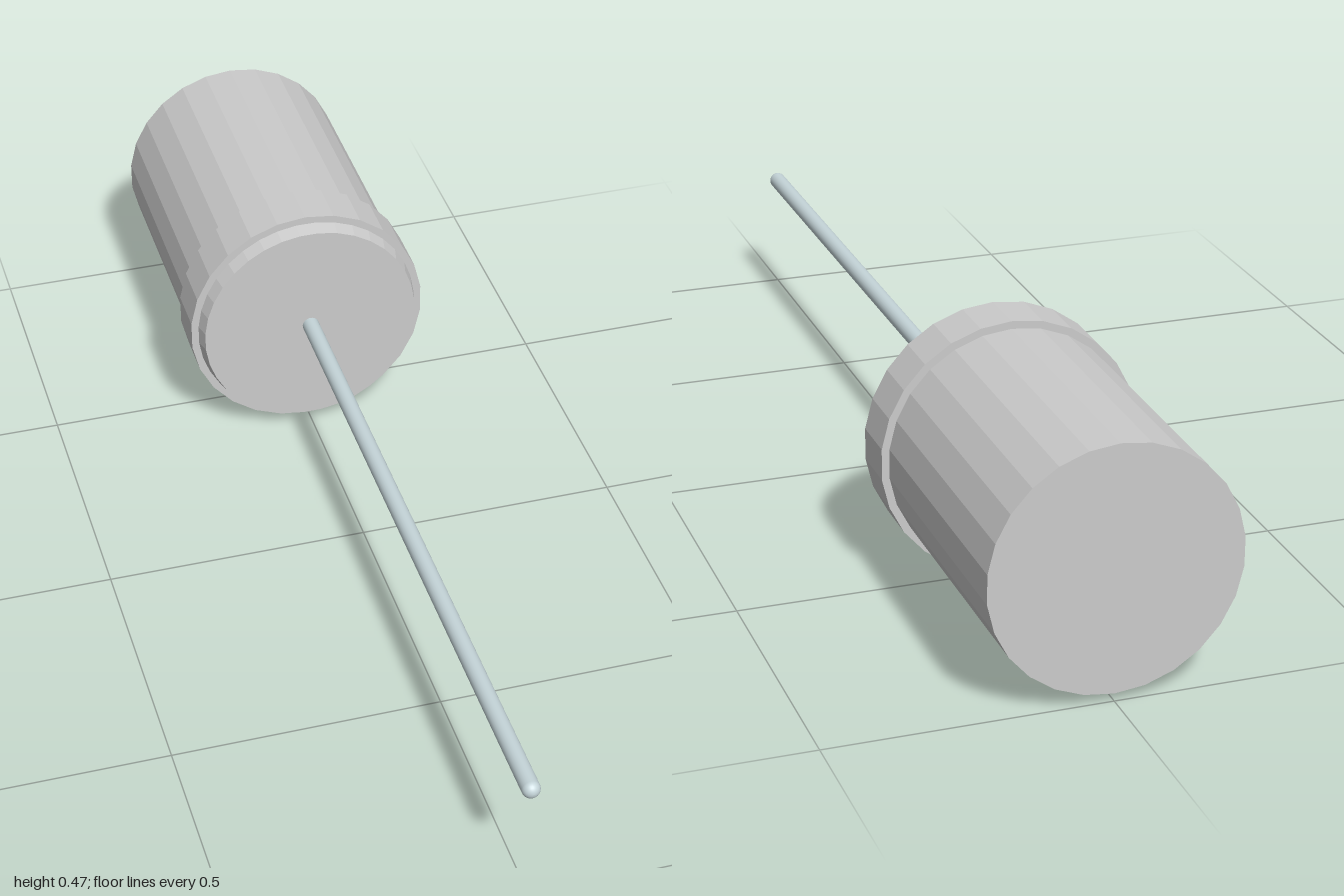
import * as THREE from 'three';

const AXIS_Y = 0.237;

export function createModel() {
  const model = new THREE.Group();
  const grey = new THREE.MeshStandardMaterial({ color: 0xcccccc, flatShading: true });
  const steel = new THREE.MeshStandardMaterial({ color: 0xc6d6da });

  // Closed faceted drum along z, from back to front
  const drum = (name, back, front, backRadius, frontRadius, sides, turn = 0) => {
    const geometry = new THREE.CylinderGeometry(frontRadius, backRadius, front - back, sides);
    geometry.rotateX(Math.PI / 2).rotateZ(turn);
    const mesh = new THREE.Mesh(geometry, grey);
    mesh.name = name;
    mesh.position.set(0, AXIS_Y, (back + front) / 2);
    model.add(mesh);
  };

  drum('body', -1, -0.45, 0.223, 0.223, 26);
  drum('collar', -0.497, -0.402, 0.237, 0.237, 26);
  drum('bevelledFrontCap', -0.41, -0.374, 0.224, 0.215, 36, Math.PI / 36);

  // Thin rod with a rounded tip
  const r = 0.0165, start = -0.4;
  const profile = [new THREE.Vector2(0, start), new THREE.Vector2(r, start)];
  for (let i = 0; i <= 8; i++) {
    const a = (i / 8) * Math.PI / 2;
    profile.push(new THREE.Vector2(r * Math.cos(a), 1 - r + r * Math.sin(a)));
  }
  const rod = new THREE.Mesh(new THREE.LatheGeometry(profile, 24).rotateX(Math.PI / 2), steel);
  rod.name = 'rod';
  rod.position.y = AXIS_Y;
  model.add(rod);

  return model;
}
